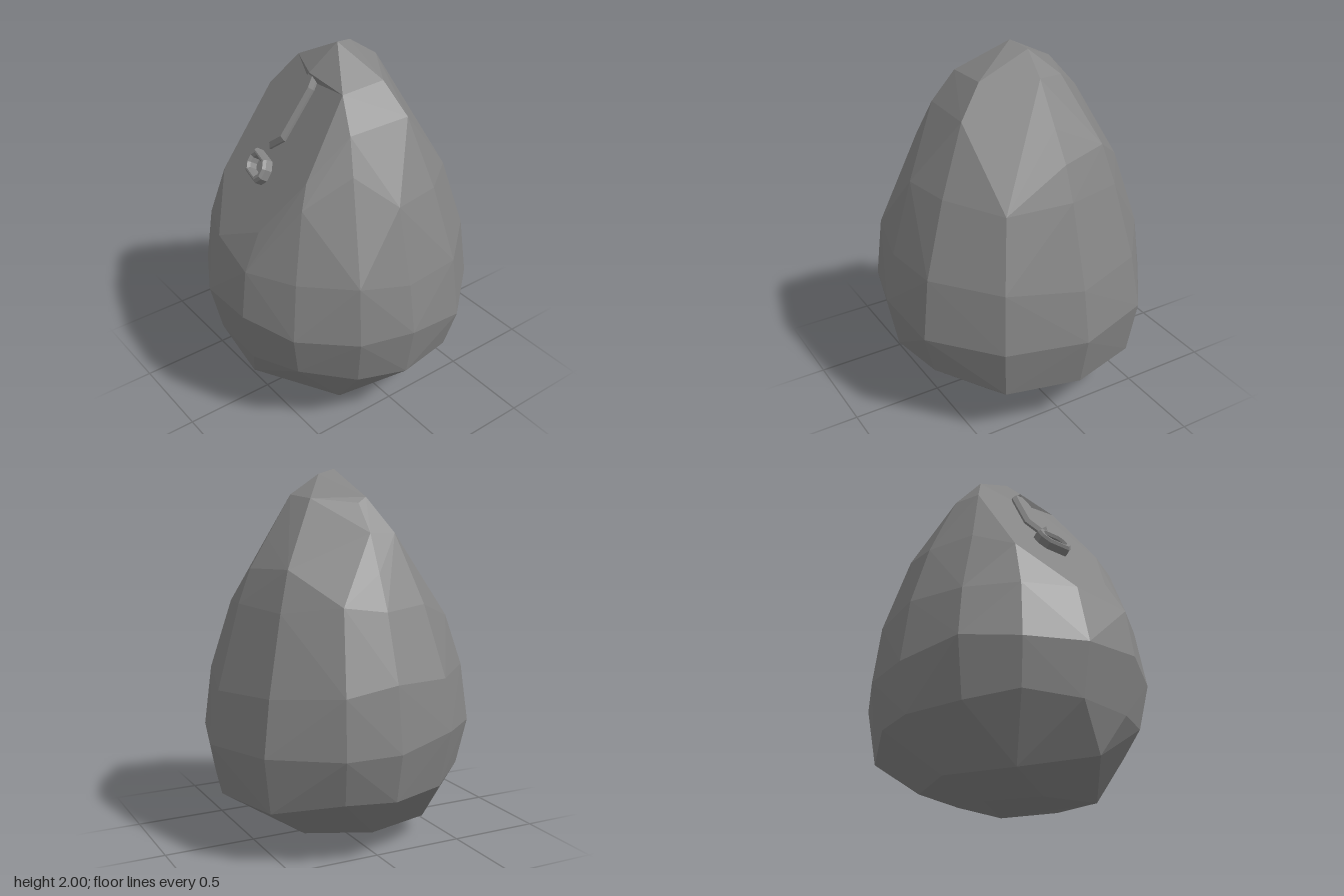
import * as THREE from 'three';
import { ConvexGeometry } from 'three/addons/geometries/ConvexGeometry.js';

// Sloping flat panel on the upper front: z as a function of x and y
const panelZ = (x, y) => 1.377 + 0.17 * x - 0.69 * y;
const panelNormal = new THREE.Vector3(-0.17, 0.69, 1).normalize();
const V = (x, y, z) => new THREE.Vector3(x, y, z);

// Plan outline of the widest ring
const OUTLINE = [
  [-0.02, -0.74], [0.41, -0.62], [0.70, -0.29], [0.745, 0.06], [0.67, 0.35],
  [0.45, 0.61], [0.17, 0.735], [-0.18, 0.725], [-0.48, 0.56], [-0.68, 0.33],
  [-0.75, 0], [-0.69, -0.28], [-0.44, -0.61],
];

// Rings: height, scale of the outline, forward tilt, column step
const RINGS = [
  [0.36, 0.92, 0.09, 1], [0.63, 1.0, 0.09, 1], [0.94, 0.94, 0.08, 1],
  [1.32, 0.77, 0.03, 1], [1.49, 0.665, 0, 2], [1.67, 0.54, 0, 2], [1.85, 0.36, 0, 2],
];

// Corners of the panel, in front view
const PANEL = [
  [-0.26, 1.86], [0.25, 1.84], [0.31, 1.47], [0.14, 1.17],
  [-0.16, 1.14], [-0.41, 1.24], [-0.38, 1.68],
];

function bodyPoints() {
  const points = PANEL.map(([x, y]) => V(x, y, panelZ(x, y)));
  RINGS.forEach(([y0, scale, tilt, step], r) => {
    for (let i = 0; i < OUTLINE.length; i += step) {
      const wobble = r === 1 ? 1 : 1 + 0.012 * Math.sin(i * 2.7 + r * 1.9);
      const x = OUTLINE[i][0] * scale * wobble;
      const z = OUTLINE[i][1] * scale * wobble;
      const y = y0 + tilt * z + 0.02 * Math.sin(i * 4.1 + r * 2.3);
      const limit = panelZ(x, y);
      if (z < limit + 0.05) points.push(V(x, y, Math.min(z, limit)));
    }
  });
  // Tip and uneven underside
  points.push(
    V(0.01, 2, 0), V(-0.03, 1.975, -0.11),
    V(0.03, 0, -0.06), V(-0.05, 0.03, 0.3), V(-0.21, 0.02, 0.05),
    V(0.41, 0.09, 0), V(0.4, 0.09, 0.28), V(0.03, 0.19, 0.6),
    V(-0.33, 0.1, 0.38), V(-0.45, 0.11, 0), V(-0.3, 0.11, -0.33),
    V(0.02, 0.11, -0.37), V(0.31, 0.11, -0.3),
  );
  return points;
}

// Lays a geometry drawn in x, y onto the panel, its z becoming height above it
function layOnPanel(geometry) {
  const p = geometry.attributes.position;
  for (let i = 0; i < p.count; i++) {
    const x = p.getX(i), y = p.getY(i), h = p.getZ(i);
    const v = V(x, y, panelZ(x, y)).addScaledVector(panelNormal, h);
    p.setXYZ(i, v.x, v.y, v.z);
  }
  geometry.computeVertexNormals();
  return geometry;
}

const polygon = (corners, Type = THREE.Shape) =>
  new Type(corners.map(([x, y]) => new THREE.Vector2(x, y)));

// Flat oval with chamfered ends
function oval(cx, cy, w, h) {
  const c = h * 0.6;
  return [
    [-w, -h + c], [-w + c, -h], [w - c, -h], [w, -h + c],
    [w, h - c], [w - c, h], [-w + c, h], [-w, h - c],
  ].map(([x, y]) => [cx + x, cy + y - x * 0.06]);
}

export function createModel() {
  const group = new THREE.Group();
  const stone = new THREE.MeshStandardMaterial({ color: 0x858585, flatShading: true });
  stone.name = 'stone grey';

  const add = (name, geometry) => {
    const mesh = new THREE.Mesh(geometry, stone);
    mesh.name = name;
    group.add(mesh);
  };

  // Faceted egg-shaped body
  add('body', new ConvexGeometry(bodyPoints()));

  // Brow overhanging the top of the panel
  const [left, right] = PANEL.slice(0, 2).map(([x, y]) => V(x, y, panelZ(x, y)));
  add('brow', new ConvexGeometry([
    left, right, V(0.01, 2, 0), V(-0.03, 1.857, 0.145),
    V(-0.08, 1.805, panelZ(-0.08, 1.805)), V(0.02, 1.81, panelZ(0.02, 1.81)),
  ]));

  // Raised stem with bevelled sides, running down from the brow
  const stem = polygon([
    [-0.09, 1.465], [-0.005, 1.535], [0.022, 1.78], [0.005, 1.855],
    [-0.055, 1.855], [-0.085, 1.78], [-0.155, 1.545],
  ]);
  add('stem', layOnPanel(new THREE.ExtrudeGeometry(stem, {
    depth: 0.012, bevelEnabled: true, bevelThickness: 0.02,
    bevelSize: 0.018, bevelOffset: -0.018, bevelSegments: 1,
  })));

  // Small oval ring below the stem
  const ring = polygon(oval(-0.088, 1.378, 0.095, 0.055));
  ring.holes.push(polygon(oval(-0.088, 1.378, 0.058, 0.028), THREE.Path));
  add('ring', layOnPanel(new THREE.ExtrudeGeometry(ring, {
    depth: 0.04, bevelEnabled: true, bevelThickness: 0.015,
    bevelSize: 0.01, bevelOffset: -0.01, bevelSegments: 1,
  })));

  return group;
}
